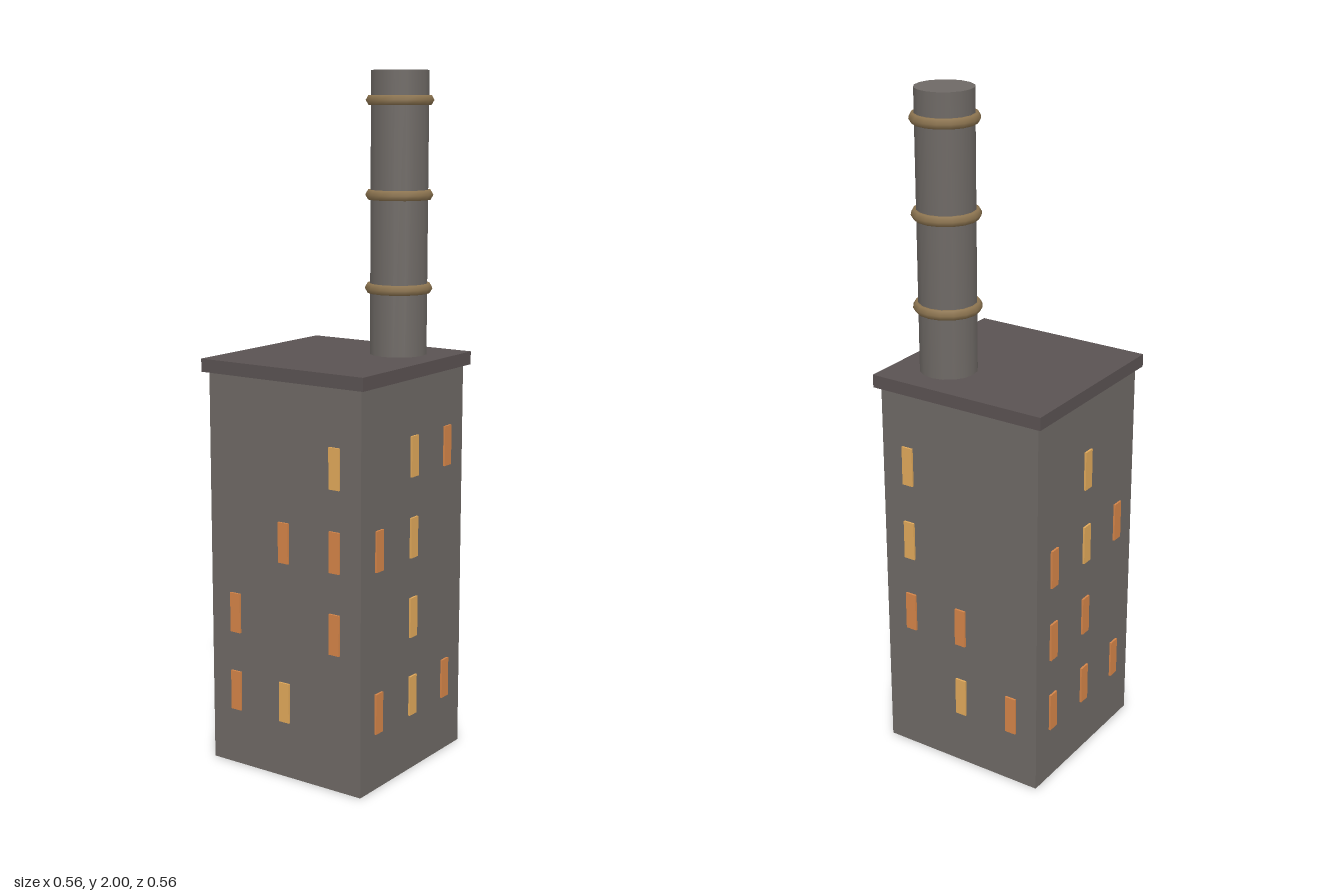
import * as THREE from 'three';

export function createModel() {
  const model = new THREE.Group();
  const paint = (color) => new THREE.MeshStandardMaterial({ color });
  const wall = paint(0x6e6965), slate = paint(0x5a5252), brass = paint(0x8c7450);
  const lights = { Y: paint(0xe0a85a), O: paint(0xd48448) };

  const add = (parent, name, geometry, material, x, y, z) => {
    const mesh = new THREE.Mesh(geometry, material);
    mesh.name = name;
    mesh.position.set(x, y, z);
    parent.add(mesh);
    return mesh;
  };

  // Tower block and overhanging roof slab
  const half = 0.262;
  add(model, 'towerBody', new THREE.BoxGeometry(half * 2, 1.165, half * 2), wall, 0, 0.5825, 0);
  add(model, 'roofSlab', new THREE.BoxGeometry(0.556, 0.038, 0.556), slate, 0, 1.18, 0);

  // Chimney in the back corner, with three bands
  const cx = 0.125, cz = -0.125;
  add(model, 'chimney', new THREE.CylinderGeometry(0.083, 0.083, 0.81, 16), wall, cx, 1.595, cz);
  for (const y of [1.39, 1.655, 1.918]) {
    const band = add(model, 'chimneyBand', new THREE.TorusGeometry(0.082, 0.016, 6, 16), brass, cx, y, cz);
    band.rotation.x = Math.PI / 2;
  }

  // Windows per wall: rows from the bottom up, columns left to right seen from outside
  const walls = [
    ['frontWindows', 0, ['OY.', 'O.O', '.OO', '..Y']],
    ['leftWindows', Math.PI / 2, ['OYO', '.Y.', 'OY.', '.YO']],
    ['backWindows', Math.PI, ['.YO', 'OO.', 'Y..', 'Y..']],
    ['rightWindows', -Math.PI / 2, ['OOO', 'OO.', 'OYO', '.Y.']],
  ];
  const pane = new THREE.BoxGeometry(0.035, 0.118, 0.012);
  for (const [name, angle, rows] of walls) {
    const group = new THREE.Group();
    group.name = name;
    group.rotation.y = angle;
    rows.forEach((row, r) => [...row].forEach((kind, c) => {
      if (kind !== '.') add(group, 'window', pane, lights[kind], (c - 1) * 0.175, 0.226 + r * 0.2365, half);
    }));
    model.add(group);
  }
  return model;
}
